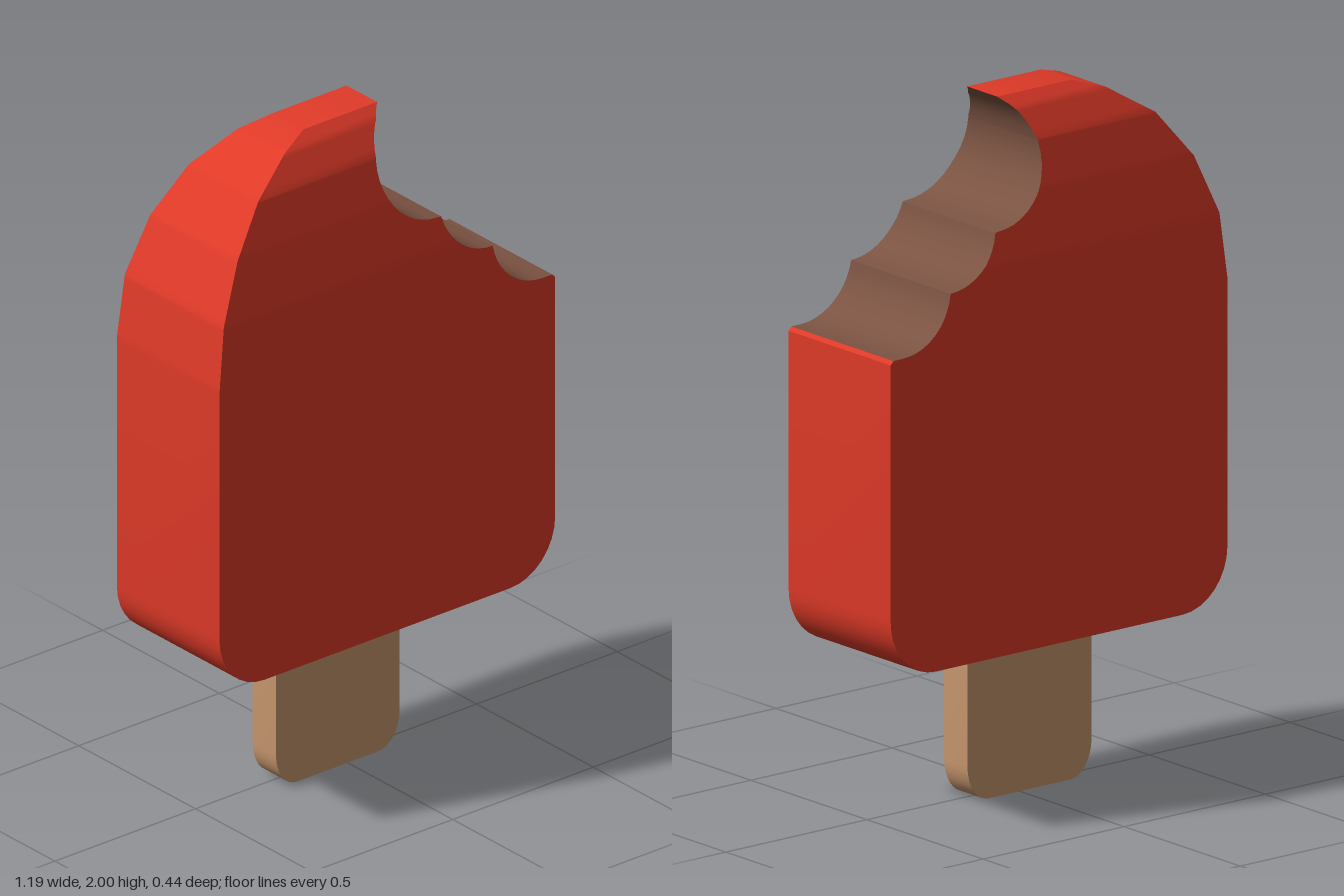
import * as THREE from 'three';
import { toCreasedNormals } from 'three/addons/utils/BufferGeometryUtils.js';

// Linear lookup in a list of [value, y] points whose y falls
function at(points, y) {
  for (let i = 1; i < points.length; i++) {
    const [v0, y0] = points[i - 1], [v1, y1] = points[i];
    if (y >= y1 - 1e-9) return v0 + (v1 - v0) * (y0 - y) / (y0 - y1);
  }
  return points[points.length - 1][0];
}

// Points on an ellipse arc, angles in radians
function arc(cx, cy, rx, ry, from, to, n) {
  return Array.from({ length: n + 1 }, (_, i) => {
    const t = from + (to - from) * i / n;
    return [cx + rx * Math.cos(t), cy + ry * Math.sin(t)];
  });
}

function geometryOf(positions) {
  const g = new THREE.BufferGeometry();
  g.setAttribute('position', new THREE.Float32BufferAttribute(positions, 3));
  return toCreasedNormals(g, 0.5);
}

export function createModel() {
  const red = new THREE.MeshStandardMaterial({ color: 0xe03a28 });
  red.name = 'red ice';
  const brown = new THREE.MeshStandardMaterial({ color: 0x7b5342 });
  brown.name = 'brown filling';
  const wood = new THREE.MeshStandardMaterial({ color: 0xc9986f });
  wood.name = 'wood';

  const group = new THREE.Group();
  group.name = 'icePop';
  const add = (name, geometry, material) => {
    const mesh = new THREE.Mesh(geometry, material);
    mesh.name = name;
    group.add(mesh);
  };

  // Left-hand outline of the ice, top to bottom
  const shoulder = [[-0.17, 2], [-0.265, 1.97], [-0.4, 1.885], [-0.505, 1.75], [-0.575, 1.58], [-0.597, 1.39]];
  const corner = arc(-0.437, 0.63, 0.16, 0.17, Math.PI, Math.PI * 1.5, 8);
  const leftEdge = [...shoulder, ...corner];

  // Three scallops bitten out of the other shoulder
  const bite = [
    ...arc(0.2, 1.85, 0.185, 0.185, Math.PI - Math.asin(0.15 / 0.185), Math.PI * 1.5, 16),
    ...arc(0.38, 1.7, 0.175, 0.175, Math.PI + 0.21, Math.PI * 1.5 - 0.02, 10),
    ...arc(0.555, 1.55, 0.177, 0.177, Math.PI + 0.145, Math.PI * 1.5 - 0.02, 10),
    [0.587, 1.3725],
  ].filter((p, i, all) => i === 0 || p[1] < all[i - 1][1] - 1e-4);
  const biteEnd = bite[bite.length - 1][1];
  const rightEdge = [...bite, [0.597, 1.362], ...corner.map(([x, y]) => [-x, y])];

  // Half thickness shrinks towards the top as the shoulder curves in
  const thickness = [...shoulder.map(([x, y]) => [0.22 - (x + 0.597) * 0.363, y]), [0.22, 0.46]];

  // Stack of rows wherever an outline has a point
  const ys = [...leftEdge, ...rightEdge].map((p) => p[1]).sort((a, b) => b - a);
  const rows = ys.filter((y, i) => i === 0 || ys[i - 1] - y > 1e-6)
    .map((y) => ({ y, l: at(leftEdge, y), r: at(rightEdge, y), h: at(thickness, y) }));

  const ice = [], filling = [];
  const quad = (out, a, b, c, d) => out.push(...a, ...b, ...c, ...a, ...c, ...d);
  const ends = (row) => ({
    lf: [row.l, row.y, row.h], rf: [row.r, row.y, row.h],
    lb: [row.l, row.y, -row.h], rb: [row.r, row.y, -row.h],
  });
  for (let i = 1; i < rows.length; i++) {
    const a = ends(rows[i - 1]), b = ends(rows[i]);
    quad(ice, b.lf, b.rf, a.rf, a.lf);
    quad(ice, b.rb, b.lb, a.lb, a.rb);
    quad(ice, b.lb, b.lf, a.lf, a.lb);
    quad(rows[i].y >= biteEnd - 1e-6 ? filling : ice, b.rf, b.rb, a.rb, a.rf);
  }
  const top = ends(rows[0]), bottom = ends(rows[rows.length - 1]);
  quad(ice, top.lf, top.rf, top.rb, top.lb);
  quad(ice, bottom.lb, bottom.rb, bottom.rf, bottom.lf);
  add('iceBody', geometryOf(ice), red);
  add('biteSurface', geometryOf(filling), brown);

  // Flat stick with rounded lower corners
  const outline = [
    [-0.255, 0.5],
    ...arc(-0.18, 0.105, 0.075, 0.105, Math.PI, Math.PI * 1.5, 8),
    ...arc(0.11, 0.105, 0.075, 0.105, Math.PI * 1.5, Math.PI * 2, 8),
    [0.185, 0.5],
  ].map(([x, y]) => new THREE.Vector2(x, y));
  const stick = new THREE.ExtrudeGeometry(new THREE.Shape(outline), { depth: 0.1, bevelEnabled: false });
  stick.translate(0, 0, -0.05);
  add('stick', toCreasedNormals(stick, 0.5), wood);

  return group;
}
